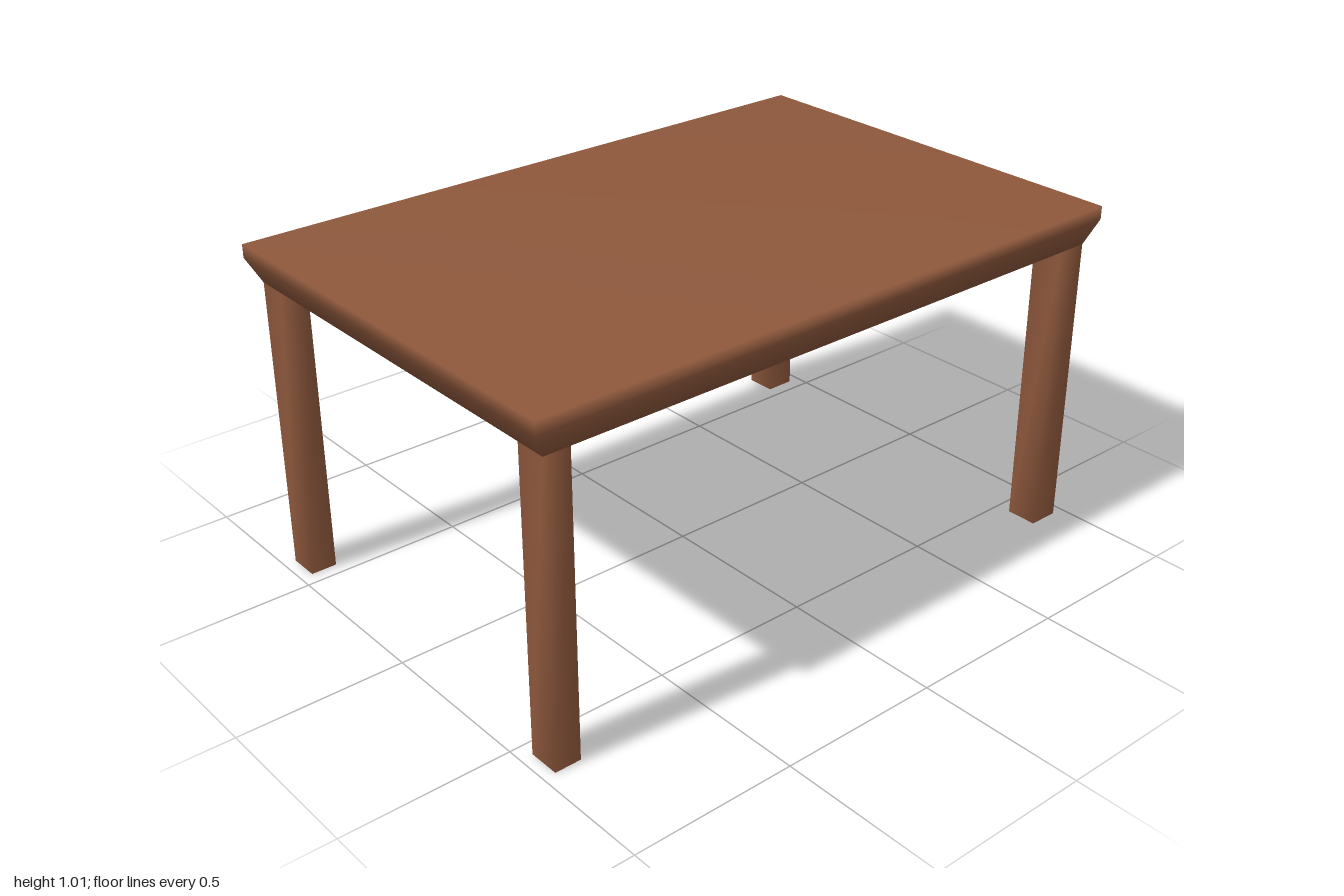
import * as THREE from 'three';
import { mergeVertices } from 'three/addons/utils/BufferGeometryUtils.js';

// Share corner vertices so the shading rolls softly over the edges
function smooth(geometry) {
  geometry.deleteAttribute('normal');
  geometry.deleteAttribute('uv');
  const merged = mergeVertices(geometry);
  merged.computeVertexNormals();
  return merged;
}

export function createModel() {
  const table = new THREE.Group();
  table.name = 'table';
  const wood = new THREE.MeshStandardMaterial({ color: 0x8e583c });
  wood.name = 'brown wood';

  const topY = 1.015, lipY = 0.975, underY = 0.9;

  // Tabletop: a slab with a straight lip and a bevel running in to the underside
  const slab = new THREE.BoxGeometry(1.334, 2, 2, 1, 2, 1);
  const p = slab.attributes.position;
  for (let i = 0; i < p.count; i++) {
    const level = p.getY(i);
    p.setY(i, level > 0.5 ? topY : level > -0.5 ? lipY : underY);
    if (level < -0.5) {
      p.setX(i, Math.sign(p.getX(i)) * 0.641);
      p.setZ(i, Math.sign(p.getZ(i)) * 0.962);
    }
  }
  slab.scale(1, 1, 2 / 2);
  const tabletop = new THREE.Mesh(smooth(slab), wood);
  tabletop.name = 'tabletop';
  table.add(tabletop);

  // Legs: square posts flush with the edge of the underside, set slightly into it
  const legHeight = underY + 0.02;
  for (const [end, depth, sz] of [['front', 0.08, 1], ['back', 0.095, -1]]) {
    for (const [side, sx] of [['Left', 1], ['Right', -1]]) {
      const width = 0.096;
      const leg = new THREE.Mesh(smooth(new THREE.BoxGeometry(width, legHeight, depth)), wood);
      leg.name = `${end}${side}Leg`;
      leg.position.set(sx * (0.641 - width / 2), legHeight / 2, sz * (0.962 - depth / 2));
      table.add(leg);
    }
  }
  return table;
}
